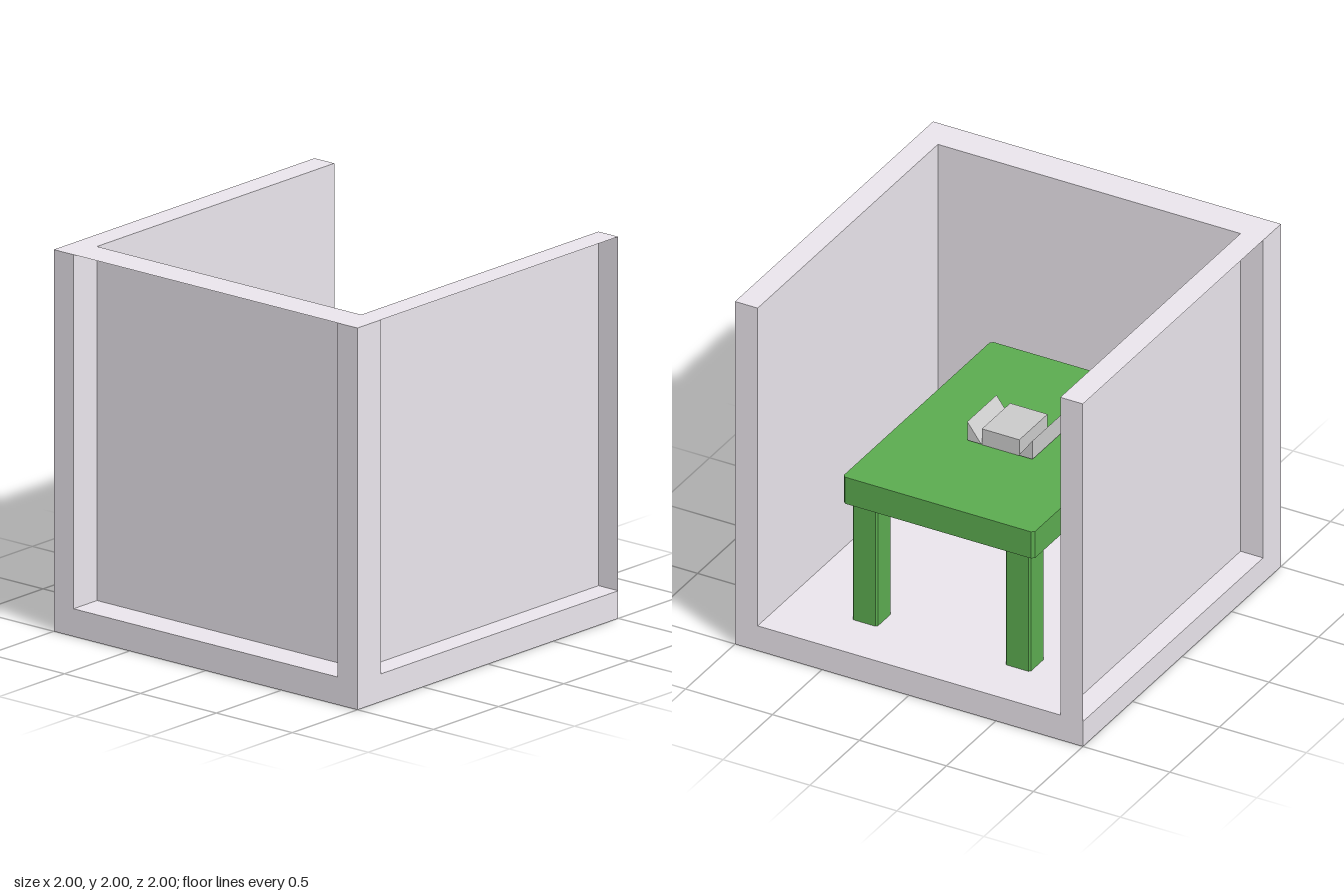
import * as THREE from 'three';

const wallMat = new THREE.MeshStandardMaterial({ color: 0xebe6ed, flatShading: true, side: THREE.DoubleSide });
const tableMat = new THREE.MeshStandardMaterial({ color: 0x5cac50, flatShading: true });
const greyMat = new THREE.MeshStandardMaterial({ color: 0xcccccc, flatShading: true });

function addMesh(parent, name, geometry, material) {
  const mesh = new THREE.Mesh(geometry, material);
  mesh.name = name;
  parent.add(mesh);
  return mesh;
}

// Box given by its lower and upper corners
function boxBetween(a, b) {
  const size = b.map((v, i) => v - a[i]);
  return new THREE.BoxGeometry(...size).translate(...a.map((v, i) => v + size[i] / 2));
}

// Flat rectangle given by two corners that share one coordinate
function sheetBetween(a, b) {
  const [w, h, d] = b.map((v, i) => v - a[i]);
  let geo;
  if (w === 0) geo = new THREE.PlaneGeometry(d, h).rotateY(Math.PI / 2);
  else if (h === 0) geo = new THREE.PlaneGeometry(w, d).rotateX(-Math.PI / 2);
  else geo = new THREE.PlaneGeometry(w, h);
  return geo.translate((a[0] + b[0]) / 2, (a[1] + b[1]) / 2, (a[2] + b[2]) / 2);
}

// Upright block with chamfered vertical corners
function chamferedBlock(width, depth, y0, y1, c) {
  const w = width / 2, d = depth / 2;
  const outline = [[-w + c, -d], [w - c, -d], [w, -d + c], [w, d - c],
    [w - c, d], [-w + c, d], [-w, d - c], [-w, -d + c]];
  const shape = new THREE.Shape(outline.map(([x, y]) => new THREE.Vector2(x, y)));
  return new THREE.ExtrudeGeometry(shape, { depth: y1 - y0, bevelEnabled: false })
    .rotateX(-Math.PI / 2).translate(0, y0, 0);
}

function createRoom() {
  const room = new THREE.Group();
  room.name = 'room';
  const xi = -0.82, yi = 0.145, zi = 0.87; // inner faces of the room

  // Edge beams, end caps and recessed panels of the two long walls
  for (const [side, s] of [['front', 1], ['back', -1]]) {
    const z0 = s > 0 ? zi : -1, z1 = s > 0 ? 1 : -zi;
    addMesh(room, side + 'SillBeam', boxBetween([-1, 0, z0], [1, yi, z1]), wallMat);
    addMesh(room, side + 'CornerPost', boxBetween([-1, yi, z0], [xi, 2, z1]), wallMat);
    addMesh(room, side + 'WallPanel', sheetBetween([xi, yi, s * zi], [1, 2, s * zi]), wallMat);
    addMesh(room, side + 'WallTopCap', sheetBetween([xi, 2, z0], [1, 2, z1]), wallMat);
    addMesh(room, side + 'WallEndCap', sheetBetween([1, yi, z0], [1, 2, z1]), wallMat);
  }

  // Closed side wall
  addMesh(room, 'sideSillBeam', boxBetween([-1, 0, -zi], [xi, yi, zi]), wallMat);
  addMesh(room, 'sideWallPanel', sheetBetween([xi, yi, -zi], [xi, 2, zi]), wallMat);
  addMesh(room, 'sideWallTopCap', sheetBetween([-1, 2, -zi], [xi, 2, zi]), wallMat);

  // Floor, open underneath, with its edge on the open side
  addMesh(room, 'floorPanel', sheetBetween([xi, yi, -zi], [1, yi, zi]), wallMat);
  addMesh(room, 'floorEdgeCap', sheetBetween([1, 0, -zi], [1, yi, zi]), wallMat);
  return room;
}

function createTable() {
  const table = new THREE.Group();
  table.name = 'table';
  const top = addMesh(table, 'tableTop', chamferedBlock(1.5, 1.1, 0.835, 0.99, 0.015), tableMat);
  top.position.z = -0.025;
  // Legs run down through the floor
  for (const x of [-0.64, 0.64]) {
    for (const z of [0.42, -0.46]) {
      const leg = addMesh(table, 'tableLeg', chamferedBlock(0.145, 0.145, 0.015, 0.835, 0.01), tableMat);
      leg.position.set(x, 0, z);
    }
  }
  return table;
}

// Small block on the table with a wedge at each end
function createTableObject() {
  const object = new THREE.Group();
  object.name = 'tableObject';
  addMesh(object, 'centreBlock', boxBetween([-0.145, 0.99, -0.145], [0.14, 1.083, 0.07]), greyMat);
  for (const s of [1, -1]) {
    const zMid = -0.0375, inner = zMid + s * 0.1075, outer = zMid + s * 0.1875;
    const shape = new THREE.Shape([
      new THREE.Vector2(inner, 0.997), new THREE.Vector2(outer, 0.997), new THREE.Vector2(outer, 1.105),
    ]);
    const geo = new THREE.ExtrudeGeometry(shape, { depth: 0.295, bevelEnabled: false })
      .translate(0, 0, -0.1475).rotateY(-Math.PI / 2);
    addMesh(object, s > 0 ? 'frontWedge' : 'backWedge', geo, greyMat);
  }
  return object;
}

export function createModel() {
  const model = new THREE.Group();
  model.name = 'roomWithTable';
  model.add(createRoom(), createTable(), createTableObject());
  return model;
}
